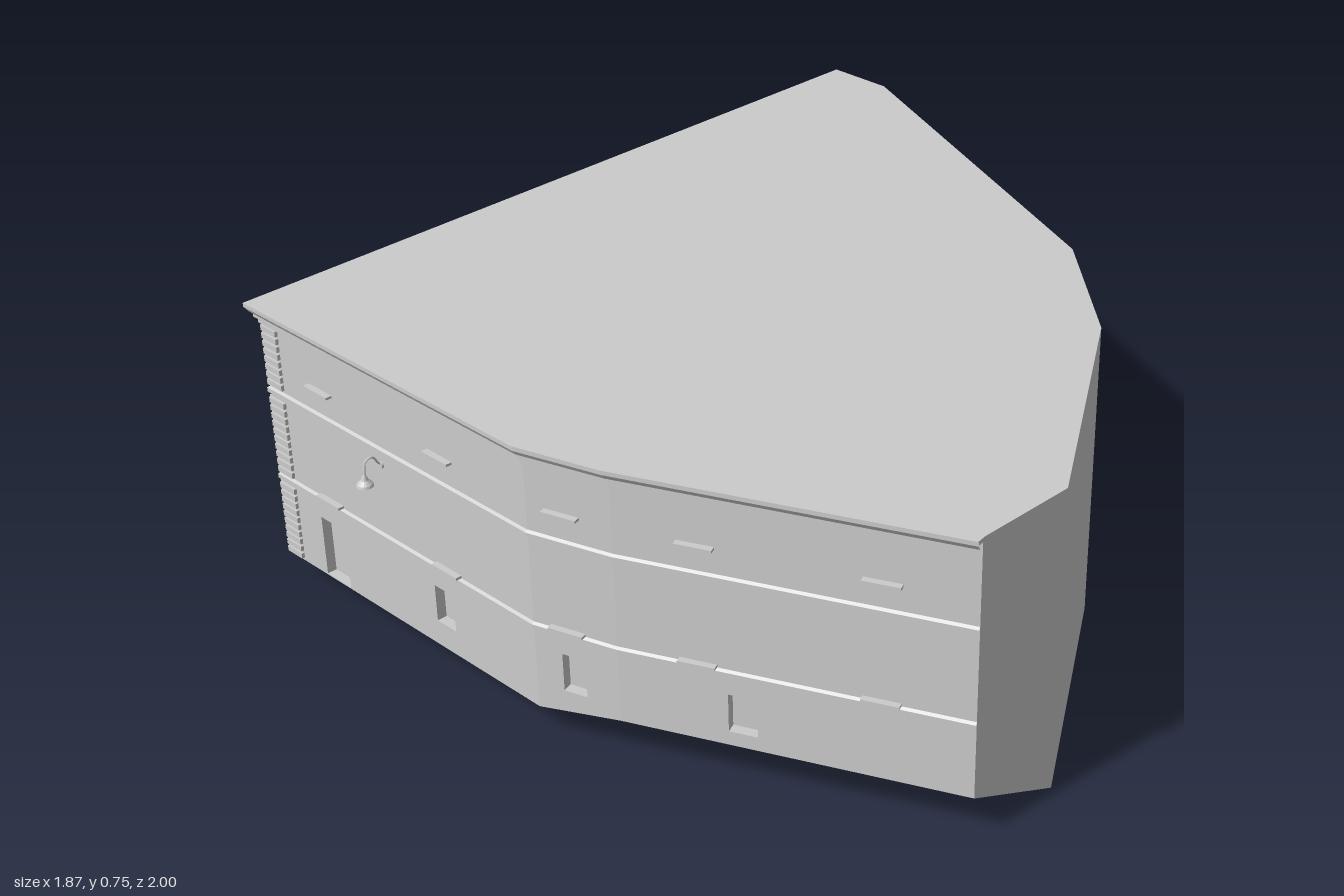
import * as THREE from 'three';

const mat = new THREE.MeshStandardMaterial({ color: 0xcccccc, flatShading: true, side: THREE.DoubleSide });
const TOP = 0.745, RECESS = 0.025;

function add(parent, name, geo, x = 0, y = 0, z = 0) {
  const m = new THREE.Mesh(geo, mat);
  m.name = name;
  m.position.set(x, y, z);
  parent.add(m);
  return m;
}

// Joins consecutive cross-sections (arrays of Vector3) with flat quads
function skin(sections) {
  const p = [];
  for (let i = 0; i + 1 < sections.length; i++) {
    const a = sections[i], b = sections[i + 1];
    for (let j = 0; j + 1 < a.length; j++)
      for (const v of [a[j], b[j], b[j + 1], a[j], b[j + 1], a[j + 1]]) p.push(v.x, v.y, v.z);
  }
  const g = new THREE.BufferGeometry();
  g.setAttribute('position', new THREE.Float32BufferAttribute(p, 3));
  g.computeVertexNormals();
  return g;
}

// Sweeps an [outward, y] profile along a mitred ground path of [x, z]
function sweep(path, profile) {
  const normal = (a, b) => new THREE.Vector2(-(b[1] - a[1]), b[0] - a[0]).normalize();
  return skin(path.map((p, i) => {
    const n0 = i > 0 ? normal(path[i - 1], p) : normal(p, path[1]);
    const n1 = i + 1 < path.length ? normal(p, path[i + 1]) : n0;
    const m = n0.clone().add(n1);
    m.multiplyScalar(1 / (1 + n0.dot(n1)));
    return profile.map(([o, y]) => new THREE.Vector3(p[0] + m.x * o, y, p[1] + m.y * o));
  }));
}

// Outline of an opening, optionally with a round head
function openingPoints({ u0, u1, y0, y1, arch }) {
  const pts = [[u0, y0], [u1, y0]];
  if (arch) {
    const r = (u1 - u0) / 2;
    for (let i = 0; i <= 10; i++) {
      const t = Math.PI * i / 10;
      pts.push([(u0 + u1) / 2 + r * Math.cos(t), y1 - r + r * Math.sin(t)]);
    }
  } else pts.push([u1, y1], [u0, y1]);
  return pts.map(([x, y]) => new THREE.Vector2(x, y));
}

// Facade from a to b (left to right seen from outside), drawn in local u, y, outward axes
function facade(name, a, b, baseA, baseB, openings, sills) {
  const g = new THREE.Group();
  g.name = name;
  const len = Math.hypot(b[0] - a[0], b[1] - a[1]);
  g.position.set(a[0], 0, a[1]);
  g.rotation.y = -Math.atan2(b[1] - a[1], b[0] - a[0]);
  const wall = new THREE.Shape([[0, baseA], [len, baseB], [len, TOP], [0, TOP]].map(p => new THREE.Vector2(...p)));
  for (const o of openings) {
    const pts = openingPoints(o);
    wall.holes.push(new THREE.Path(pts));
    if (o.through) continue;
    const ring = [...pts, pts[0]];
    add(g, 'reveal', skin([0, -RECESS].map(d => ring.map(p => new THREE.Vector3(p.x, p.y, d)))));
    add(g, 'recessedPanel', new THREE.ShapeGeometry(new THREE.Shape(pts)), 0, 0, -RECESS);
  }
  add(g, 'wall', new THREE.ShapeGeometry(wall));
  for (const u of sills)
    for (const y of [0.308, 0.598]) add(g, 'sill', new THREE.BoxGeometry(0.085, 0.006, 0.016), u, y, 0.008);
  return g;
}

// Stack of thin ribs, interrupted by the belt courses
function quoins(parent, u0, base) {
  for (const [lo, hi] of [[base, 0.282], [0.306, 0.512], [0.54, 0.7]]) {
    const n = Math.round((hi - lo) / 0.02), step = (hi - lo) / n;
    for (let i = 0; i < n; i++)
      add(parent, 'quoinRib', new THREE.BoxGeometry(0.055, step * 0.7, 0.008), u0 + 0.0275, lo + (i + 0.5) * step, 0.004);
  }
}

export function createModel() {
  const model = new THREE.Group();
  model.name = 'cornerBuilding';
  const street = [[-0.91, -1], [-0.91, 0.93], [0, 0.93], [0.2, 0.87], [0.925, 0.55]];

  // Long street side with four doors and an open bay at the top
  const door = (z0, z1, y0, y1, arch) => ({ u0: z0 + 1, u1: z1 + 1, y0, y1, arch });
  const side = facade('sideFacade', street[0], street[1], 0, 0.08, [
    door(-0.75, -0.61, 0.02, 0.21),
    door(-0.2, -0.06, 0.042, 0.24),
    door(0.24, 0.36, 0.06, 0.28, true),
    door(0.63, 0.78, 0.078, 0.26),
    { ...door(-0.93, -0.62, 0.545, 0.7), through: true },
  ], [0.86, 1.31, 1.72]);
  quoins(side, 0, 0);
  quoins(side, 1.875, 0.085);
  add(side, 'pilasterStrip', new THREE.BoxGeometry(0.015, 0.4, 0.008), 1.48, 0.5, 0.004);

  // Front in three bays that bend back to the right
  const win = (u0, u1) => ({ u0, u1, y0: 0.145, y1: 0.24 });
  const front = facade('frontFacade', street[1], street[2], 0.08, 0.08,
    [{ u0: 0.145, u1: 0.235, y0: 0.083, y1: 0.24 }, win(0.565, 0.63)], [0.2, 0.625]);
  quoins(front, 0, 0.085);
  const bend = facade('bendFacade', street[2], street[3], 0.08, 0.11, [win(0.068, 0.126)], [0.088]);
  const wing = facade('wingFacade', street[3], street[4], 0.11, 0.11, [win(0.25, 0.316)], [0.185, 0.59]);
  model.add(side, front, bend, wing);

  // Plain rear walls
  const rear = [[0.925, 0.55, 0.11], [0.93, 0.3, 0], [0.55, -0.29, 0], [0.25, -0.56, 0], [-0.76, -1, 0], [-0.91, -1, 0]];
  add(model, 'rearWalls', skin(rear.map(([x, z, y]) => [new THREE.Vector3(x, TOP, z), new THREE.Vector3(x, y, z)])));

  // Belt courses and stepped cornice along the street
  for (const y of [0.284, 0.516])
    add(model, 'beltCourse', sweep(street, [[0, y], [0.006, y + 0.004], [0.006, y + 0.015], [0, y + 0.02]]));
  add(model, 'cornice', sweep(street, [[0, 0.7], [0.007, 0.7], [0.007, 0.711], [0.014, 0.715],
    [0.014, 0.724], [0.02, 0.728], [0.028, 0.74], [0.028, 0.75]]));

  // Flat roof slab
  const roof = [[-0.938, -1], [-0.76, -1], [0.25, -0.56], [0.55, -0.29], [0.932, 0.3], [0.93, 0.55],
    [0.934, 0.576], [0.205, 0.898], [0, 0.958], [-0.938, 0.958]];
  const slab = new THREE.ExtrudeGeometry(new THREE.Shape(roof.map(([x, z]) => new THREE.Vector2(x, -z))),
    { depth: 0.01, bevelEnabled: false });
  add(model, 'roof', slab.rotateX(-Math.PI / 2), 0, 0.74, 0);

  // Gooseneck wall lamp
  const lamp = new THREE.Group();
  lamp.name = 'wallLamp';
  lamp.position.set(-0.5, 0, 0.93);
  add(lamp, 'lampPlate', new THREE.CylinderGeometry(0.008, 0.008, 0.006, 12).rotateX(Math.PI / 2), 0, 0.49, 0.003);
  const arm = new THREE.CatmullRomCurve3([[0.49, 0], [0.5, 0.01], [0.52, 0.025], [0.515, 0.043], [0.48, 0.05]]
    .map(([y, z]) => new THREE.Vector3(0, y, z)));
  add(lamp, 'lampArm', new THREE.TubeGeometry(arm, 20, 0.0025, 6));
  const shade = [[0.003, 0.487], [0.006, 0.48], [0.009, 0.472], [0.018, 0.463], [0.02, 0.457]];
  add(lamp, 'lampShade', new THREE.LatheGeometry(shade.map(p => new THREE.Vector2(...p)), 16), 0, 0, 0.05);
  add(lamp, 'lampBulb', new THREE.SphereGeometry(0.008, 10, 8), 0, 0.457, 0.05);
  model.add(lamp);
  return model;
}
